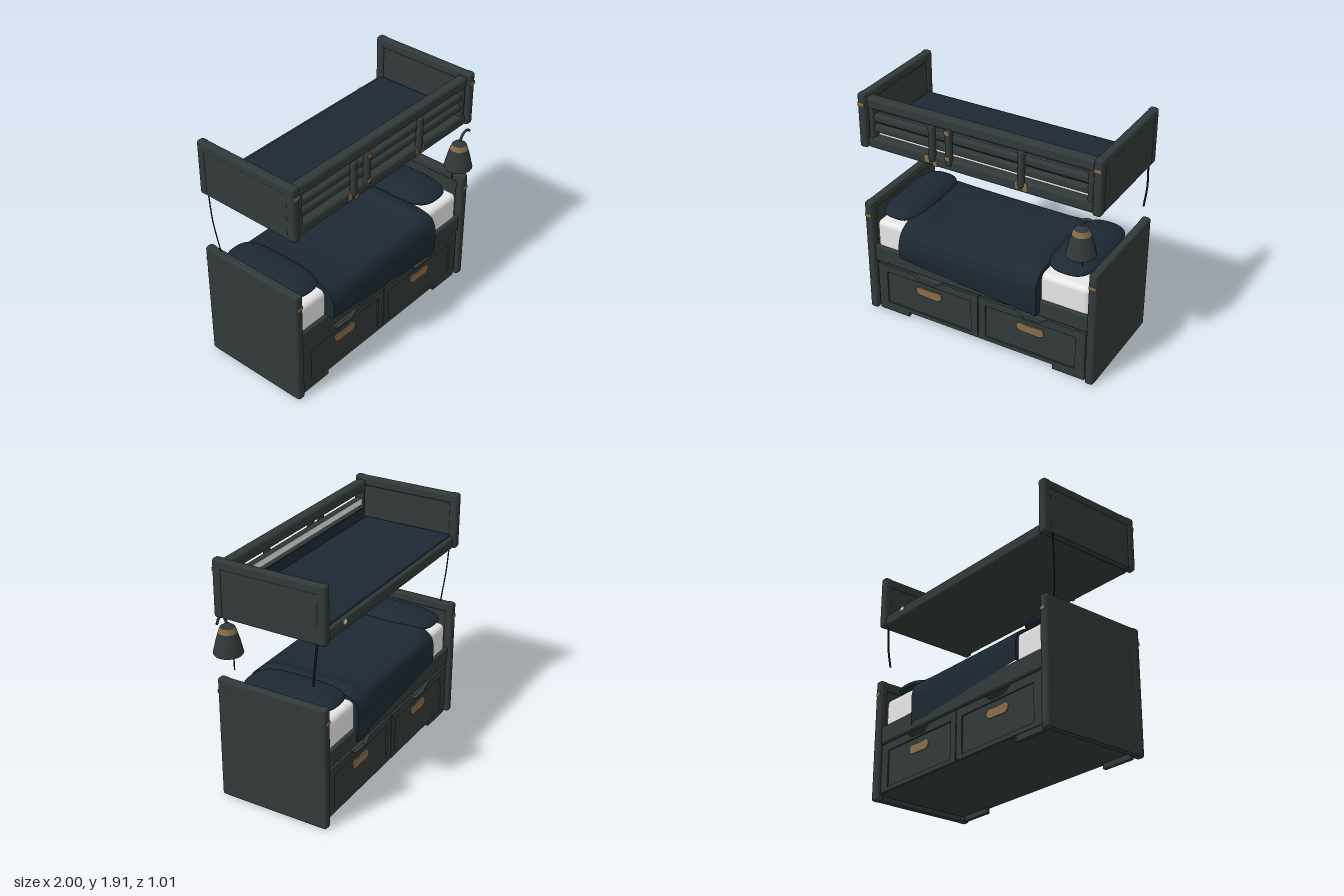
import * as THREE from 'three';
import { RoundedBoxGeometry } from 'three/addons/geometries/RoundedBoxGeometry.js';
import { ParametricGeometry } from 'three/addons/geometries/ParametricGeometry.js';

const material = (name, color, side = THREE.FrontSide) => {
  const m = new THREE.MeshStandardMaterial({ color, side });
  m.name = name;
  return m;
};

export function createModel() {
  const wood = material('dark painted wood', 0x313938, THREE.DoubleSide);
  const navy = material('navy bedding', 0x1c2833, THREE.DoubleSide);
  const white = material('white mattress', 0xffffff);
  const brass = material('brass', 0x876c4a, THREE.DoubleSide);
  const black = material('black cord', 0x1b1f20);

  const model = new THREE.Group();
  model.name = 'bunkBed';

  const add = (name, geometry, mat, parent = model) => {
    const mesh = new THREE.Mesh(geometry, mat);
    mesh.name = name;
    parent.add(mesh);
    return mesh;
  };
  // Box given by its limits, rounded when r > 0
  const box = (name, x0, x1, y0, y1, z0, z1, mat, r = 0, parent = model) => {
    const w = x1 - x0, h = y1 - y0, d = z1 - z0;
    const g = r ? new RoundedBoxGeometry(w, h, d, 3, r) : new THREE.BoxGeometry(w, h, d);
    g.translate((x0 + x1) / 2, (y0 + y1) / 2, (z0 + z1) / 2);
    return add(name, g, mat, parent);
  };
  const tube = (name, points, radius, mat) => add(name, new THREE.TubeGeometry(
    new THREE.CatmullRomCurve3(points.map(p => new THREE.Vector3(...p))), 20, radius, 6), mat);

  // End boards of both bunks: two posts, top rail, panel, brass clips
  for (const [level, y0, y1, clip, offset] of [['lower', 0, 0.99, 0.875, 0.008], ['upper', 1.47, 1.915, 1.83, 0.004]]) {
    for (const s of [-1, 1]) {
      const end = new THREE.Group();
      end.name = level + 'EndBoard';
      end.position.x = s * 0.965;
      model.add(end);
      box('frontPost', -0.035, 0.035, y0, y1, 0.33, 0.405, wood, 0.022, end);
      box('backPost', -0.035, 0.035, y0, y1, -0.5, -0.43, wood, 0.022, end);
      box('topRail', -0.033, 0.033, y1 - 0.08, y1 - 0.004, -0.46, 0.36, wood, 0.02, end);
      box('panel', s * offset - 0.024, s * offset + 0.024, y0 + 0.008, y1 - 0.04, -0.46, 0.36, wood, 0, end);
      box('frontClip', -0.028, 0.028, clip - 0.014, clip + 0.014, 0.4, 0.4075, brass, 0, end);
      if (level === 'lower')
        box('backClip', -0.025, 0.025, clip - 0.013, clip + 0.013, -0.502, -0.497, brass, 0, end);
    }
  }

  // Lower bunk base, side rails, floor plate and feet
  box('lowerBase', -0.945, 0.945, 0.465, 0.575, -0.45, 0.36, wood);
  box('lowerFrontRail', -0.94, 0.94, 0.455, 0.6, 0.34, 0.385, wood, 0.015);
  box('lowerBackRail', -0.94, 0.94, 0.455, 0.6, -0.474, -0.43, wood, 0.015);
  box('floorPlate', -0.945, 0.945, 0.045, 0.06, -0.465, 0.375, wood);
  for (const [x, z] of [[-0.78, 0.345], [0.78, 0.345], [-0.78, -0.465]])
    box('foot', x - 0.135, x + 0.135, 0.004, 0.05, z, z + 0.03, wood);

  // Drawer front: frame with a finger notch, recessed panel and brass handle
  const drawerShape = new THREE.Shape([[0.004, 0.05], [0.917, 0.05], [0.917, 0.44], [0.6, 0.44],
    [0.535, 0.395], [0.39, 0.39], [0.32, 0.44], [0.004, 0.44]].map(p => new THREE.Vector2(...p)));
  drawerShape.holes.push(new THREE.Path([[0.065, 0.085], [0.065, 0.375], [0.835, 0.375], [0.835, 0.085]]
    .map(p => new THREE.Vector2(...p))));
  const drawerFrame = new THREE.ExtrudeGeometry(drawerShape, { depth: 0.03, bevelEnabled: false });
  const handleShape = new THREE.Shape();
  handleShape.moveTo(-0.07, -0.037);
  handleShape.quadraticCurveTo(0, -0.036, 0.07, -0.042);
  handleShape.bezierCurveTo(0.13, -0.038, 0.13, 0.034, 0.08, 0.036);
  handleShape.quadraticCurveTo(0, 0.026, -0.08, 0.036);
  handleShape.bezierCurveTo(-0.13, 0.034, -0.13, -0.034, -0.07, -0.037);
  const handleGeometry = new THREE.ExtrudeGeometry(handleShape, { depth: 0.009, bevelEnabled: false });

  for (const [face, z] of [[1, 0.35], [-1, -0.442]]) {
    const row = new THREE.Group();
    row.name = face > 0 ? 'frontDrawers' : 'backDrawers';
    row.position.z = z;
    row.rotation.y = face > 0 ? 0 : Math.PI;
    model.add(row);
    box('centreStile', -0.025, 0.025, 0.055, 0.43, -0.012, 0.012, wood, 0, row);
    for (const s of [-1, 1]) {
      add('drawerFrame', drawerFrame, wood, row).scale.x = s;
      box('drawerPanel', s * 0.45 - 0.39, s * 0.45 + 0.39, 0.08, 0.38, 0.005, 0.018, wood, 0, row);
      add('drawerHandle', handleGeometry, brass, row).position.set(s * 0.45, 0.295, 0.018);
    }
  }

  // Lower mattress and pillows
  box('lowerMattress', -0.925, 0.925, 0.56, 0.82, -0.45, 0.36, white, 0.045);
  const pillow = new THREE.SphereGeometry(1, 32, 20);
  const pos = pillow.attributes.position;
  const puff = (t, p) => Math.sign(t) * Math.abs(t) ** p;
  for (let i = 0; i < pos.count; i++)
    pos.setXYZ(i, puff(pos.getX(i), 0.75), puff(pos.getY(i), 1.35), puff(pos.getZ(i), 0.5));
  pillow.computeVertexNormals();
  for (const [x, w] of [[-0.775, 0.165], [0.7, 0.19]]) {
    const p = add('pillow', pillow, navy);
    p.scale.set(w, 0.072, 0.385);
    p.position.set(x, 0.876, -0.05);
  }

  // Draped blanket: cross-section swept along the bed, hem sloping toward +x
  const bump = (x, c, w) => Math.exp(-(((x - c) / w) ** 2));
  const drape = (u, v, target) => {
    const x = THREE.MathUtils.lerp(-0.66, 0.535, THREE.MathUtils.clamp((u - 0.03) / 0.94, 0, 1));
    const hem = THREE.MathUtils.lerp(0.6, 0.49, (x + 0.66) / 1.195);
    const cuff = bump(x, 0.45, 0.08);
    const lift = 0.035 * cuff + 0.03 * bump(x, -0.66, 0.18);
    const back = -0.479 - 0.02 * cuff;
    const profile = [[0.44, hem], [0.452, 0.65], [0.445, 0.75], [0.405, 0.825], [0.3, 0.845 + lift],
      [-0.04, 0.85 + lift], [-0.36, 0.845 + lift], [-0.455, 0.82], [back, 0.74], [back, 0.64], [back, hem]];
    new THREE.CatmullRomCurve3(profile.map(([z, y]) => new THREE.Vector3(x, y, z))).getPoint(v, target);
    // Tuck the end edges in toward the mattress
    if (u < 0.01 || u > 0.99) {
      target.z = -0.04 + (target.z + 0.04) * 0.8;
      target.y = 0.62 + (target.y - 0.62) * 0.85;
    }
  };
  add('blanket', new ParametricGeometry(drape, 34, 44), navy);

  // Upper bunk base, cover turned up at the guard rail, white sheet edge and tag
  box('upperBase', -0.945, 0.945, 1.475, 1.545, -0.455, 0.36, wood);
  box('upperFrontRail', -0.94, 0.94, 1.472, 1.565, 0.3, 0.385, wood, 0.025);
  box('upperBackRail', -0.94, 0.94, 1.472, 1.565, -0.48, -0.435, wood, 0.018);
  box('upperCover', -0.94, 0.94, 1.53, 1.582, -0.445, 0.305, navy, 0.012);
  box('coverEdge', -0.9, 0.9, 1.56, 1.665, 0.297, 0.306, navy);
  box('sheetEdge', -0.88, 0.88, 1.55, 1.604, 0.306, 0.312, white);
  box('sheetTag', 0.69, 0.73, 1.525, 1.555, -0.484, -0.478, white);

  // Guard rail: top bar, two slats, end uprights and three straps
  box('guardTopBar', -0.935, 0.935, 1.797, 1.89, 0.3, 0.385, wood, 0.025);
  for (const y of [1.605, 1.69])
    box('guardSlat', -0.92, 0.92, y, y + 0.062, 0.315, 0.37, wood, 0.02);
  box('slatBacking', -0.88, 0.88, 1.695, 1.745, 0.311, 0.316, white);
  for (const s of [-1, 1])
    box('guardUpright', s * 0.902 - 0.023, s * 0.902 + 0.023, 1.55, 1.85, 0.305, 0.38, wood, 0.018);
  for (const x of [-0.367, -0.225, 0.368])
    box('guardStrap', x - 0.024, x + 0.024, 1.52, 1.81, 0.355, 0.405, wood, 0.015);
  for (const [x0, x1, y0, y1, z] of [[-0.43, -0.395, 1.5, 1.56, 0.383], [-0.36, -0.325, 1.48, 1.52, 0.383],
    [0.325, 0.35, 1.5, 1.56, 0.383], [0.385, 0.415, 1.49, 1.56, 0.383],
    [-0.247, -0.203, 1.775, 1.808, 0.402], [-0.247, -0.203, 1.57, 1.6, 0.402]])
    box('strapClip', x0, x1, y0, y1, z, z + 0.006, brass);

  // Hanging lamp with brass collar, lining, hooked arm and pull cord
  const ring = (name, pts, mat) => {
    const g = add(name, new THREE.LatheGeometry(pts.map(p => new THREE.Vector2(...p)), 20), mat);
    g.position.set(0.86, 0, 0.395);
  };
  ring('lampShade', [[0.108, 1.13], [0.112, 1.137], [0.088, 1.24], [0.07, 1.3]], wood);
  ring('lampCollar', [[0.07, 1.3], [0.056, 1.338]], brass);
  ring('lampCap', [[0.056, 1.338], [0.015, 1.368], [0, 1.372]], wood);
  ring('lampLining', [[0.106, 1.132], [0.08, 1.16], [0, 1.165]], brass);
  tube('lampArm', [[0.86, 1.365, 0.4], [0.88, 1.425, 0.41], [0.93, 1.437, 0.41], [0.975, 1.405, 0.4]], 0.011, wood);
  tube('lampPull', [[0.855, 1.14, 0.36], [0.853, 1.07, 0.355], [0.855, 1.0, 0.352]], 0.005, black);

  // Thin hanging cords at the back corners
  tube('leftCord', [[0.975, 1.48, -0.425], [0.985, 1.3, -0.41], [0.975, 1.14, -0.39]], 0.008, black);
  tube('rightCord', [[-0.993, 1.48, -0.42], [-0.985, 1.25, -0.405], [-0.955, 0.985, -0.38]], 0.005, black);

  return model;
}
